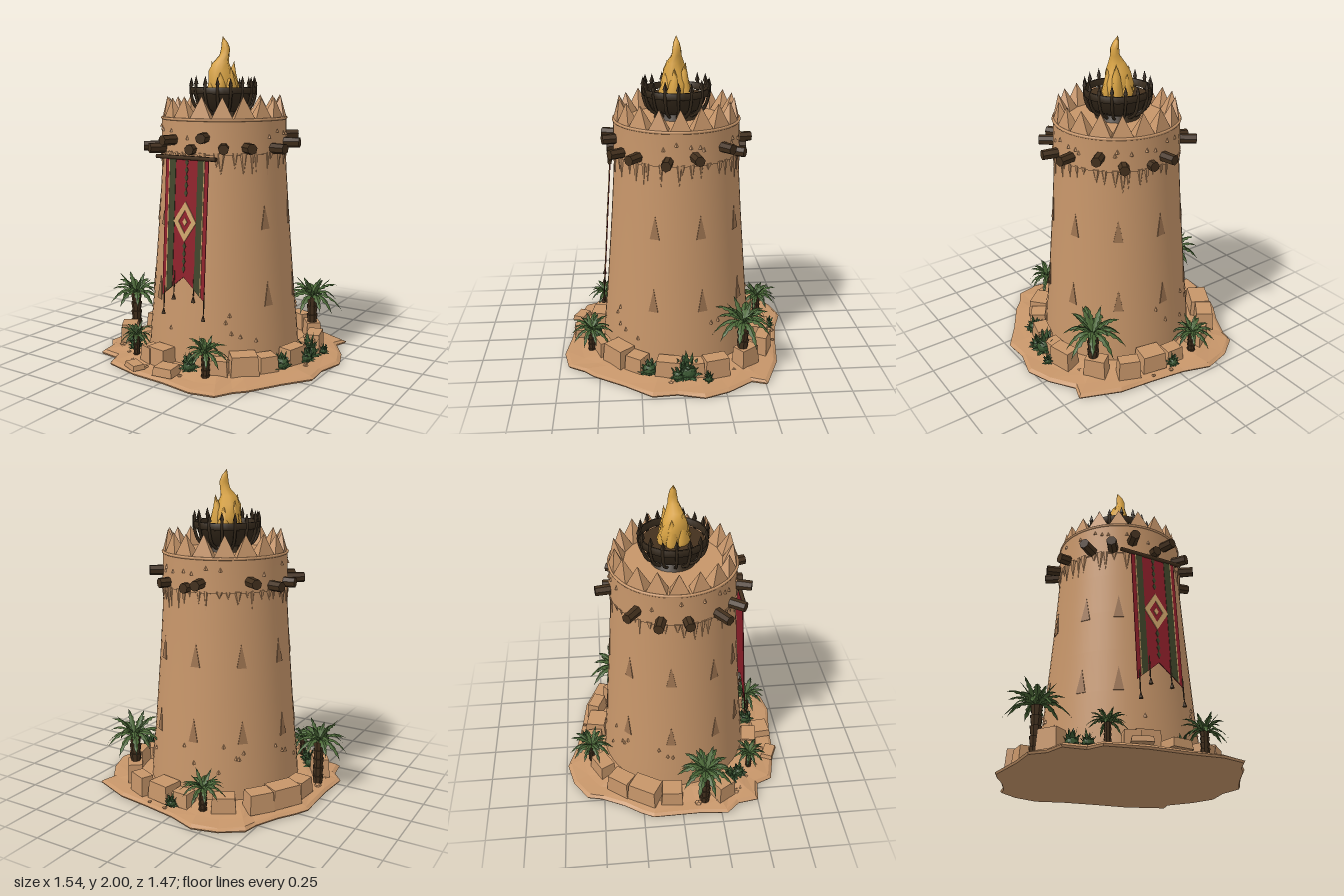
import * as THREE from 'three';
import { mergeGeometries } from 'three/addons/utils/BufferGeometryUtils.js';

const mat = (name, hex, side = THREE.FrontSide) => {
  const m = new THREE.MeshStandardMaterial({ color: hex, side });
  m.name = name;
  return m;
};
const clay = mat('clay', 0xc69569);
const recess = mat('recessClay', 0x9c7350);
const wood = mat('darkWood', 0x43301d);
const iron = mat('darkIron', 0x35291b);
const flame = mat('flame', 0xdba544);
const red = mat('redCloth', 0x8e1f2a, THREE.DoubleSide);
const olive = mat('oliveCloth', 0x3f4429, THREE.DoubleSide);
const cream = mat('creamCloth', 0xd0a56c, THREE.DoubleSide);
const leaf = mat('palmLeaf', 0x4b6837, THREE.DoubleSide);
const bush = mat('bushLeaf', 0x37532f, THREE.DoubleSide);

let seed = 7;
const rnd = (a = 0, b = 1) => {
  seed = (seed * 16807) % 2147483647;
  return a + (b - a) * seed / 2147483647;
};
const CX = 0.012; // tower axis
const polar = (az, r, y) => new THREE.Vector3(Math.sin(az) * r, y, Math.cos(az) * r);
const flat = g => {
  const n = g.index ? g.toNonIndexed() : g;
  n.computeVertexNormals();
  return n;
};
function add(parent, name, geo, material, x = 0, y = 0, z = 0) {
  const m = new THREE.Mesh(geo, material);
  m.name = name;
  m.position.set(x, y, z);
  parent.add(m);
  return m;
}
function group(parent, name, x = 0, y = 0, z = 0) {
  const g = new THREE.Group();
  g.name = name;
  g.position.set(x, y, z);
  parent.add(g);
  return g;
}
// Closed rings joined from bottom to top
function loft(rings) {
  const n = rings[0].length, pos = rings.flat().flatMap(p => [p.x, p.y, p.z]), idx = [];
  for (let r = 0; r < rings.length - 1; r++) for (let i = 0; i < n; i++) {
    const a = r * n + i, b = r * n + (i + 1) % n;
    idx.push(a, b, b + n, a, b + n, a + n);
  }
  const g = new THREE.BufferGeometry();
  g.setAttribute('position', new THREE.Float32BufferAttribute(pos, 3));
  g.setIndex(idx);
  g.computeVertexNormals();
  return g;
}
const lathe = pts => new THREE.LatheGeometry(pts.map(p => new THREE.Vector2(...p)), 56);
const WALL = [[0.482, 0.03], [0.47, 0.2], [0.45, 0.4], [0.43, 0.65], [0.41, 0.9], [0.393, 1.15], [0.383, 1.32]];
function wallR(y) {
  let i = 0;
  while (i < WALL.length - 2 && WALL[i + 1][1] < y) i++;
  const [r0, y0] = WALL[i], [r1, y1] = WALL[i + 1];
  return r0 + (r1 - r0) * (y - y0) / (y1 - y0);
}

function buildGround(root) {
  const outline = [[-.35, -.7], [-.48, -.61], [-.5, -.52], [-.57, -.375], [-.64, -.27], [-.68, -.19], [-.675, .1], [-.69, .29],
    [-.62, .37], [-.6, .5], [-.47, .52], [-.43, .62], [-.2, .68], [.02, .695], [.23, .73], [.38, .7], [.44, .6], [.5, .54],
    [.62, .35], [.74, .19], [.73, .04], [.775, -.12], [.72, -.27], [.62, -.42], [.65, -.51], [.41, -.61], [.2, -.64], [-.02, -.68], [-.19, -.74]];
  const ring = (s, y, j = 0) => outline.map(([x, z]) => new THREE.Vector3(x * s, y + rnd(-j, j), z * s));
  add(root, 'ground', flat(loft([ring(0, 0), ring(.99, 0), ring(1, .012), ring(.97, .025, .004), ring(.86, .035, .006), ring(.72, .055), ring(0, .06)])), clay);
  // Curb stones: x, z, width, height, depth
  const stones = group(root, 'curbStones');
  [[.13, -.53, .16, .11, .14], [.3, -.53, .14, .12, .09], [-.52, -.23, .2, .12, .14], [-.44, -.38, .16, .12, .12], [-.55, -.06, .14, .1, .13],
    [-.12, .51, .15, .11, .11], [0, .62, .13, .05, .12], [-.22, .64, .12, .03, .08], [.38, .38, .17, .12, .13], [.47, .27, .12, .1, .11],
    [.56, -.2, .16, .12, .1], [.55, .08, .16, .11, .1], [.27, .48, .12, .1, .09], [-.27, -.5, .15, .1, .11], [-.55, .27, .13, .12, .11],
    [.56, -.08, .1, .1, .1], [-.02, -.55, .12, .09, .1], [.45, -.4, .14, .12, .1], [-.2, .5, .1, .1, .1]].forEach(([x, z, w, h, d]) => {
    const g = new THREE.BoxGeometry(w, h, d), p = g.attributes.position;
    for (let i = 0; i < p.count; i++) if (p.getY(i) > 0) { p.setX(i, p.getX(i) * .9); p.setZ(i, p.getZ(i) * .88); }
    const s = add(stones, 'curbStone', flat(g), clay, x, .035 + h / 2, z);
    s.rotation.y = Math.atan2(x, z) + rnd(-.12, .12);
  });
  const pebbles = group(root, 'pebbles');
  for (let i = 0; i < 36; i++) {
    const s = rnd(.008, .024), p = polar(rnd(0, 6.28), rnd(.52, .65), .035);
    add(pebbles, 'pebble', flat(new THREE.DodecahedronGeometry(s)), clay, p.x, p.y, p.z).scale.y = .6;
  }
}

function buildTower(root) {
  const t = group(root, 'tower', CX);
  add(t, 'wall', lathe(WALL), clay);
  add(t, 'upperBandUnderside', lathe([[.37, 1.3], [.392, 1.305]]), clay);
  add(t, 'upperBand', lathe([[.392, 1.305], [.388, 1.4], [.386, 1.5]]), clay);
  add(t, 'rimLip', new THREE.TorusGeometry(.384, .009, 8, 56).rotateX(Math.PI / 2), clay, 0, 1.505);
  add(t, 'roofFloor', new THREE.CircleGeometry(.386, 56).rotateX(-Math.PI / 2), clay, 0, 1.51);
  // Pointed battlements
  const n = 18, da = Math.PI / n;
  const apex = polar(0, .352, 1.64);
  const spike = flat(loft([[polar(-da, .386, 1.505), polar(da, .386, 1.505), polar(da, .295, 1.505), polar(-da, .295, 1.505)],
    [apex, apex, apex, apex]]));
  for (let i = 0; i < n; i++) {
    const s = add(t, 'battlement', spike, clay);
    s.rotation.y = (i + .5) * 2 * da;
    s.scale.y = 1 + rnd(-.008, .004);
  }
  // Plaster drips under the band
  for (let i = 0; i < 46; i++) {
    const len = rnd(.04, .15), az = i / 46 * Math.PI * 2 + rnd(-.05, .05), y = 1.315 - len / 2, p = polar(az, wallR(y) + .003, y);
    const d = add(t, 'plasterDrip', flat(new THREE.ConeGeometry(rnd(.012, .026), len, 5).rotateX(Math.PI)), clay, p.x, p.y, p.z);
    d.rotation.y = az;
    d.scale.z = .5;
  }
  // Triangular windows in two rows
  const tri = new THREE.Shape([[-.03, -.07], [.03, -.07], [0, .075]].map(p => new THREE.Vector2(...p)));
  const triGeo = new THREE.ExtrudeGeometry(tri, { depth: .006, bevelEnabled: false });
  for (const y of [.93, .47]) for (const deg of [68, 107, 146, 185, 224, 263, 302, 330]) {
    const az = deg * Math.PI / 180, p = polar(az, wallR(y) - .003, y);
    const w = add(t, 'window', triGeo, recess, p.x, p.y, p.z);
    w.rotation.set(-.085, az, 0, 'YXZ');
  }
  // Small chips in the plaster
  for (let i = 0; i < 40; i++) {
    const az = rnd(0, 6.28), y = i % 2 ? rnd(.2, .4) : rnd(1.4, 1.47), p = polar(az, y > 1 ? .387 : wallR(y), y);
    add(t, 'plasterChip', flat(new THREE.ConeGeometry(.012, .025, 4)), clay, p.x, p.y, p.z).rotation.y = az;
  }
  // Protruding beams: direction x, z, outer radius, height
  [[-18, -114, .48, 1.36], [8, -102, .43, 1.33], [54, -95, .455, 1.34], [86, -73, .47, 1.395], [115, -25, .485, 1.36], [115, 22, .485, 1.335],
    [90, 72, .48, 1.345], [62, 102, .48, 1.345], [28, 105, .47, 1.405], [-35, 110, .48, 1.385], [-68, 97, .49, 1.33], [-98, 70, .5, 1.33],
    [-107, 13, .46, 1.335], [-108, -30, .475, 1.335], [-92, -72, .49, 1.37], [6, 105, .43, 1.335]].forEach(([x, z, r, y]) => {
    const az = Math.atan2(x, z), p = polar(az, r - .08, y);
    const b = add(t, 'beam', flat(new THREE.CylinderGeometry(.031, .034, .16, 7).rotateX(Math.PI / 2)), wood, p.x, p.y, p.z);
    b.rotation.y = az;
  });
}

function buildBrazier(root) {
  const b = group(root, 'brazier', .003);
  add(b, 'bowl', lathe([[0, 1.535], [.1, 1.54], [.155, 1.57], [.185, 1.65]]), iron);
  add(b, 'emberBed', new THREE.CircleGeometry(.187, 40).rotateX(-Math.PI / 2), wood, 0, 1.645);
  add(b, 'hoop', new THREE.LatheGeometry([[.188, 1.65], [.205, 1.65], [.207, 1.69], [.19, 1.69], [.188, 1.65]].map(p => new THREE.Vector2(...p)), 32), iron);
  add(b, 'foot', new THREE.CylinderGeometry(.11, .14, .035, 20), iron, 0, 1.525);
  const rib = new THREE.TubeGeometry(new THREE.CatmullRomCurve3([polar(0, .12, 1.53), polar(0, .175, 1.57), polar(0, .202, 1.65), polar(0, .2, 1.72)]), 8, .01, 5);
  const spike = flat(new THREE.ConeGeometry(.016, .05, 4));
  for (let i = 0; i < 16; i++) {
    const az = i / 16 * Math.PI * 2, p = polar(az, .2, 1.735);
    add(b, 'rib', rib, iron).rotation.y = az;
    add(b, 'ribPoint', spike, iron, p.x, p.y - (i % 3) * .006, p.z);
  }
  // Flame tongues: radius, height, x and z offset of each section
  const tongue = secs => loft(secs.map(([r, y, ox, oz]) => Array.from({ length: 10 }, (_, i) => {
    const a = i / 10 * Math.PI * 2;
    return polar(a, r * (1 + .16 * Math.sin(3 * a + y * 16)), y).add(new THREE.Vector3(ox, 0, oz));
  })));
  add(b, 'flame', tongue([[.06, 1.6, 0, 0], [.085, 1.66, 0, 0], [.085, 1.72, -.005, 0], [.07, 1.79, -.01, .01], [.05, 1.84, -.005, .01],
    [.03, 1.885, .015, .003], [.026, 1.925, .02, 0], [.018, 1.96, .012, 0], [0, 2, -.002, 0]]), flame);
  for (let i = 0; i < 6; i++) {
    const az = i * 1.047 + .3, h = .1 + .035 * (i % 3), d = k => [Math.sin(az) * k, Math.cos(az) * k];
    add(b, 'flameTongue', tongue([[.035, 1.62, ...d(.055)], [.04, 1.67, ...d(.066)], [.022, 1.67 + h * .6, ...d(.06)], [0, 1.68 + h, ...d(.072)]]), flame);
  }
}

function buildBanner(root) {
  const b = group(root, 'banner', CX, 1.29, .404);
  b.rotation.x = -Math.atan(.07);
  const hem = u => -.71 - Math.abs(u) * .85;
  const plate = (name, pts, m, z, hole) => {
    const s = new THREE.Shape(pts.map(p => new THREE.Vector2(...p)));
    if (hole) s.holes.push(new THREE.Path(hole.map(p => new THREE.Vector2(...p))));
    add(b, name, new THREE.ExtrudeGeometry(s, { depth: .005, bevelEnabled: false }), m, 0, 0, z);
  };
  plate('cloth', [[-.15, 0], [-.15, hem(.15)], [0, hem(0)], [.15, hem(.15)], [.15, 0]], red, 0);
  const strip = (name, u, w, m, z) => plate(name, [[u - w, 0], [u - w, hem(u - w)], [u + w, hem(u + w)], [u + w, 0]], m, z);
  for (const s of [-1, 1]) {
    strip('oliveStripe', s * .098, .021, olive, .003);
    strip('goldStripe', s * .122, .003, cream, .004);
  }
  // Central chain of small diamonds and the large emblem
  const dia = (w, h, v) => [[-w, v], [0, v - h], [w, v], [0, v + h]];
  for (let v = -.03; v > -.68; v -= .045) if (Math.abs(v + .38) > .13) plate('chainDiamond', dia(.012, .024, v), olive, .003);
  plate('emblem', dia(.08, .12, -.38), cream, .005, dia(.045, .07, -.38));
  plate('emblemCentre', dia(.016, .024, -.38), cream, .005);
  add(b, 'rod', new THREE.CylinderGeometry(.013, .013, .42, 7).rotateZ(Math.PI / 2), wood, -.01, -.005, .005);
  for (const [u, v] of [[-.135, -.93], [-.065, -.83], [.075, -.83], [.15, -.93]]) {
    add(b, 'tasselCord', new THREE.CylinderGeometry(.004, .004, .13, 5), wood, u, v + .085, .004);
    add(b, 'tassel', new THREE.ConeGeometry(.013, .045, 6), wood, u, v, .006);
  }
}

// Folded leaf with a toothed edge, pointing along +z
function frond(L, W, rise, droop) {
  const pos = [], idx = [], n = 11;
  for (let i = 0; i <= n; i++) {
    const t = i / n, y = rise * t - droop * t * t, w = W * Math.sin(Math.PI * (.08 + .92 * t)) * (i % 2 ? 1 : .62);
    pos.push(-w, y - w * .45, L * t, 0, y, L * t, w, y - w * .45, L * t);
    if (i < n) for (const k of [0, 1]) {
      const a = i * 3 + k;
      idx.push(a, a + 3, a + 1, a + 1, a + 3, a + 4);
    }
  }
  const g = new THREE.BufferGeometry();
  g.setAttribute('position', new THREE.Float32BufferAttribute(pos, 3));
  g.setIndex(idx);
  return flat(g);
}
// Layers of leaves: count, length, width, rise, droop
function crown(layers) {
  const all = [];
  layers.forEach(([n, L, W, rise, droop], k) => {
    for (let i = 0; i < n; i++) all.push(frond(L * rnd(.85, 1.05), W, rise * rnd(.85, 1.15), droop).rotateY((i + k * .5) / n * Math.PI * 2 + rnd(-.1, .1)));
  });
  return mergeGeometries(all);
}

function buildPlants(root) {
  // Palms: x, z, crown height, leaf length
  [[-.59, .15, .31, .19], [.46, -.38, .32, .2], [-.17, -.57, .18, .145], [.23, .555, .18, .145], [-.33, .48, .165, .115]].forEach(([x, z, y, L]) => {
    const p = group(root, 'palm', x, 0, z), r = L * .17;
    for (let i = 0; i < 5; i++) {
      const h = (y - .02) / 5;
      add(p, 'trunkSegment', flat(new THREE.CylinderGeometry(r * 1.12, r * .85, h, 8)), wood, 0, .025 + h * (i + .5));
    }
    add(p, 'palmCrown', crown([[10, L, L * .13, L * .85, L * 1.15], [9, L * .9, L * .13, L * 1.15, L * .85], [6, L * .6, L * .1, L * .95, L * .3]]), leaf, 0, y);
  });
  // Bushes: x, z, radius, height
  [[.6, -.03, .095, .15], [.54, .2, .075, .1], [.65, -.15, .04, .07], [.1, .53, .07, .11], [-.46, .33, .07, .12], [.02, -.62, .05, .08], [.62, .03, .06, .1], [-.4, .4, .06, .1]].forEach(([x, z, r, h]) => {
    add(root, 'bush', crown([[9, r, r * .3, h * .7, h * .5], [8, r * .75, r * .28, h * 1.1, h * .4], [5, r * .4, r * .22, h * 1.2, h * .2]]), bush, x, .04, z);
    add(root, 'bushCore', flat(new THREE.IcosahedronGeometry(r * .55, 1)), bush, x, .04 + h * .3, z);
  });
}

export function createModel() {
  const root = new THREE.Group();
  root.name = 'desertWatchtower';
  [buildGround, buildTower, buildBrazier, buildBanner, buildPlants].forEach(build => build(root));
  return root;
}
